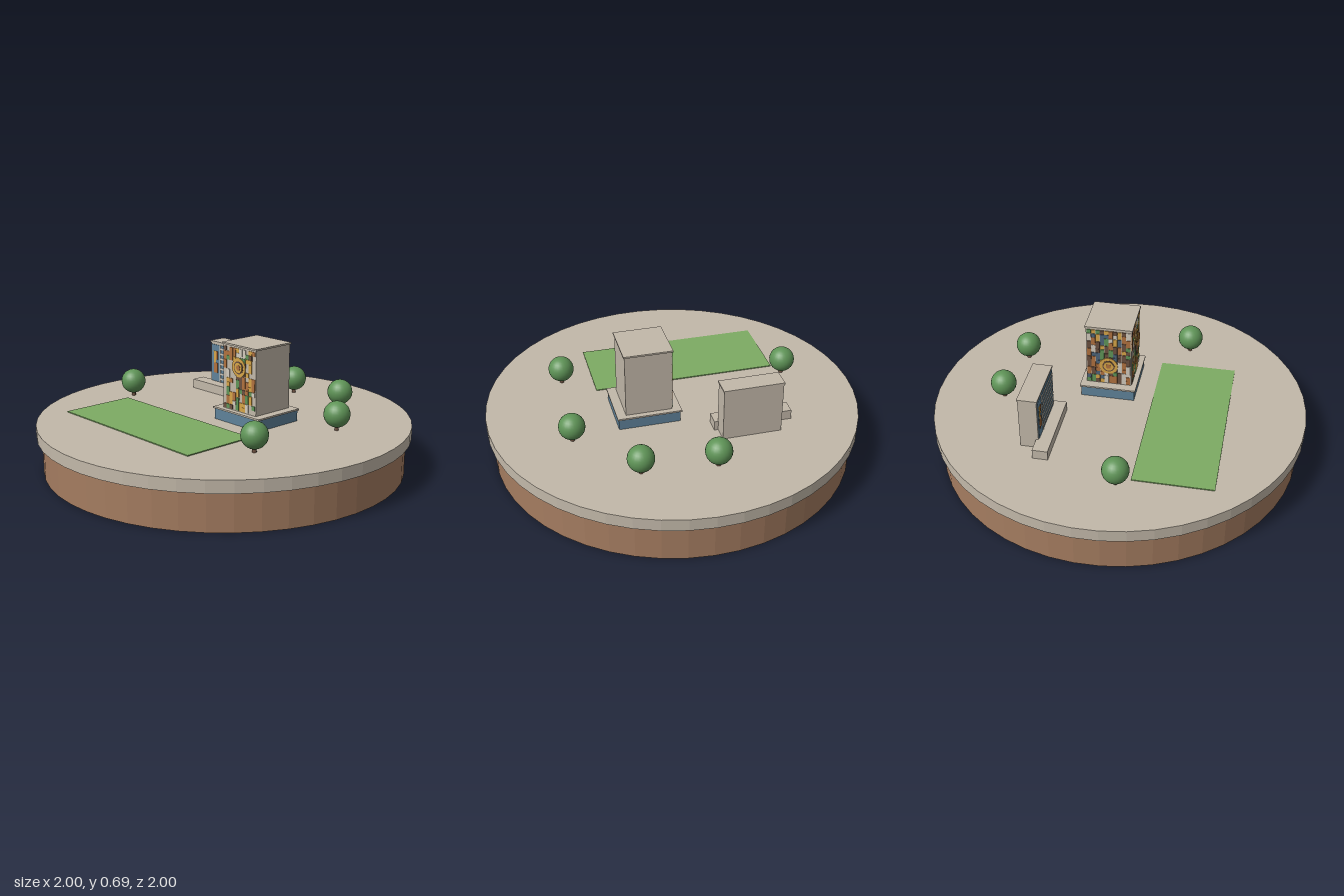
import * as THREE from 'three';
import { mergeGeometries } from 'three/addons/utils/BufferGeometryUtils.js';

const TURN = -THREE.MathUtils.degToRad(20);
const GROUND = 0.265;

function makeMaterials() {
  const colors = {
    stone: 0xc2b8a9, soil: 0xa47c60, lawn: 0x7dab63, foliage: 0x5f9457, glass: 0x5f8299,
    gold: 0xd6a548, rust: 0xb0713f, umber: 0x6b5040, trim: 0xd3cbbd, slate: 0x4d6478,
  };
  const mats = {};
  for (const [name, color] of Object.entries(colors)) {
    mats[name] = new THREE.MeshStandardMaterial({ color });
    mats[name].name = name;
  }
  return mats;
}

function addMesh(parent, name, geometry, material, x = 0, y = 0, z = 0) {
  const mesh = new THREE.Mesh(geometry, material);
  mesh.name = name;
  mesh.position.set(x, y, z);
  parent.add(mesh);
  return mesh;
}

// Box standing on height y0
function block(parent, name, mat, w, y0, y1, d, x = 0, z = 0) {
  return addMesh(parent, name, new THREE.BoxGeometry(w, y1 - y0, d), mat, x, (y0 + y1) / 2, z);
}

function facetedDisc(radius, height) {
  const g = new THREE.CylinderGeometry(radius, radius, height, 48).toNonIndexed();
  g.computeVertexNormals();
  return g;
}

function turnedGroup(parent, name, x, z) {
  const g = new THREE.Group();
  g.name = name;
  g.position.set(x, 0, z);
  g.rotation.y = TURN;
  parent.add(g);
  return g;
}

function seeded(seed) {
  return () => (seed = (seed * 16807) % 2147483647) / 2147483647;
}

// Tiled wall picture with a round emblem, lying in the local xy plane
function makeMural(mats, palette, seed, ringY) {
  const mural = new THREE.Group();
  mural.name = 'mural';
  const rand = seeded(seed);
  const cols = 10, rows = 14, w = 0.236 / cols, y0 = 0.337, h = 0.333 / rows;
  const tiles = {};
  for (let c = 0; c < cols; c++) {
    for (let r = 0; r < rows;) {
      const span = Math.min(rows - r, 1 + Math.floor(rand() * 2.3));
      const key = palette[Math.floor(rand() * palette.length)];
      if (key) {
        const g = new THREE.BoxGeometry(w * 0.94, h * span * 0.95, 0.004);
        g.translate((c + 0.5) * w - 0.118, y0 + (r + span / 2) * h, 0.002);
        (tiles[key] ??= []).push(g);
      }
      r += span;
    }
  }
  for (const key in tiles) addMesh(mural, key + 'Tiles', mergeGeometries(tiles[key]), mats[key]);
  const disc = (name, mat, radius, z) => {
    const g = new THREE.CylinderGeometry(radius, radius, 0.003, 24);
    g.rotateX(Math.PI / 2);
    addMesh(mural, name, g, mat, 0, ringY, z);
  };
  disc('emblemRing', mats.gold, 0.05, 0.0055);
  disc('emblemField', mats.umber, 0.034, 0.007);
  disc('emblemCentre', mats.gold, 0.027, 0.0085);
  disc('emblemCore', mats.rust, 0.014, 0.0095);
  return mural;
}

export function createModel() {
  const model = new THREE.Group();
  model.name = 'campusDiorama';
  const m = makeMaterials();

  // Round ground
  addMesh(model, 'soilBase', facetedDisc(0.97, 0.2), m.soil, 0, 0.1, 0);
  addMesh(model, 'pavedPlaza', facetedDisc(1, GROUND - 0.2), m.stone, 0, (GROUND + 0.2) / 2, 0);
  const lawn = turnedGroup(model, 'lawn', -0.245, 0.315);
  block(lawn, 'grass', m.lawn, 1.01, GROUND, GROUND + 0.005, 0.414);

  // Tower with glazed base and murals on its front and right walls
  const tower = turnedGroup(model, 'muralTower', 0.187, -0.008);
  block(tower, 'glazedBase', m.glass, 0.328, GROUND, 0.324, 0.29);
  block(tower, 'baseRoof', m.stone, 0.342, 0.324, 0.333, 0.304);
  block(tower, 'towerBody', m.stone, 0.245, 0.333, 0.68, 0.245);
  block(tower, 'towerRoof', m.stone, 0.257, 0.678, 0.687, 0.257);
  const front = makeMural(m, ['gold', 'gold', 'rust', 'umber', 'trim', 'foliage', null, null], 41, 0.57);
  front.position.z = 0.1225;
  tower.add(front);
  const side = makeMural(m, ['slate', 'rust', 'umber', 'umber', 'foliage', 'gold', 'trim', 'rust'], 977, 0.45);
  side.position.x = -0.1225;
  side.rotation.y = -Math.PI / 2;
  tower.add(side);

  // Slab office building with a striped glass front
  const office = turnedGroup(model, 'officeBuilding', -0.165, -0.465);
  block(office, 'officeBody', m.stone, 0.313, GROUND, 0.55, 0.097);
  block(office, 'officeRoof', m.stone, 0.32, 0.548, 0.557, 0.105);
  block(office, 'glassFront', m.glass, 0.297, 0.318, 0.538, 0.004, 0.001, 0.0505);
  block(office, 'frontDivider', m.trim, 0.008, 0.318, 0.538, 0.006, -0.074, 0.052);
  for (let i = 0; i < 7; i++) {
    const y = 0.333 + i * 0.03;
    block(office, 'floorBand', m.trim, 0.218, y, y + 0.01, 0.006, 0.038, 0.052);
  }
  block(office, 'panelRust', m.rust, 0.034, 0.37, 0.43, 0.005, -0.112, 0.052);
  block(office, 'panelGold', m.gold, 0.018, 0.43, 0.5, 0.005, -0.12, 0.052);
  block(office, 'panelUmber', m.rust, 0.014, 0.45, 0.5, 0.005, -0.102, 0.052);

  // Low wing along the office front
  const wing = turnedGroup(model, 'lowWing', -0.222, -0.404);
  block(wing, 'wingBody', m.stone, 0.42, GROUND, 0.317, 0.08);

  // Trees
  const spots = [[0.145, -0.615], [0.492, -0.45], [0.635, -0.03], [0.412, 0.48], [-0.658, -0.13]];
  const crown = new THREE.SphereGeometry(0.069, 24, 16);
  const trunk = new THREE.CylinderGeometry(0.01, 0.012, 0.04, 8);
  for (const [x, z] of spots) {
    const tree = new THREE.Group();
    tree.name = 'tree';
    tree.position.set(x, 0, z);
    addMesh(tree, 'crown', crown, m.foliage, 0, 0.351, 0);
    addMesh(tree, 'trunk', trunk, m.umber, 0, 0.283, 0);
    model.add(tree);
  }
  return model;
}
